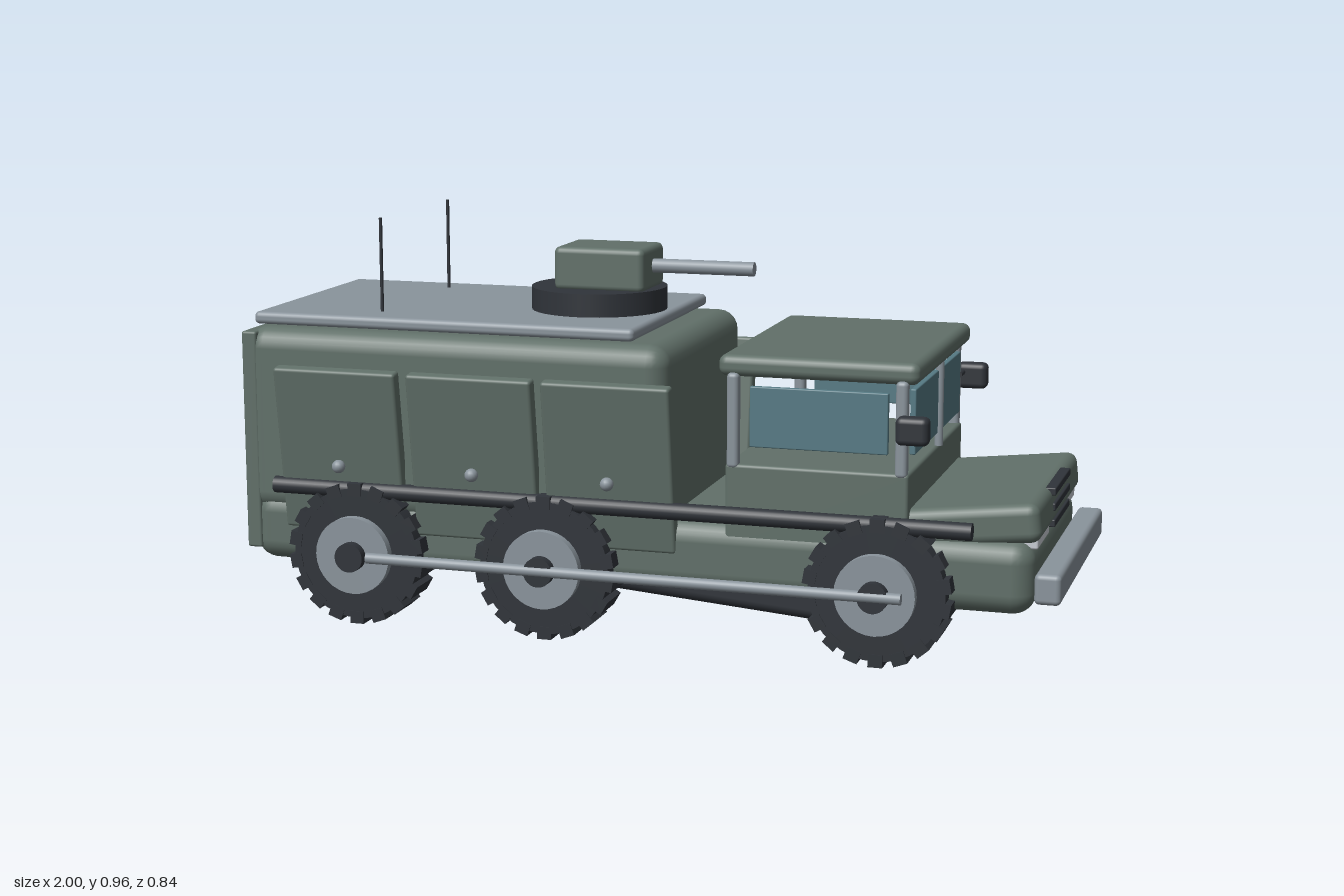
import * as THREE from 'three';
import { RoundedBoxGeometry } from 'three/addons/geometries/RoundedBoxGeometry.js';

const mat = (color) => new THREE.MeshStandardMaterial({ color });
const GREEN = mat(0x617069), GREY = mat(0x8a949c), DARK = mat(0x30343a);
const GLASS = mat(0x567a84), LAMP = mat(0xc8ccd4);

export function createModel() {
  const model = new THREE.Group();
  model.name = 'armouredTruck';

  function add(name, geometry, material, x, y, z, parent = model) {
    const mesh = new THREE.Mesh(geometry, material);
    mesh.name = name;
    mesh.position.set(x, y, z);
    parent.add(mesh);
    return mesh;
  }

  // Rounded box given by its extents on each axis
  function box(name, material, [x0, x1], [y0, y1], [z0, z1], r = 0.01) {
    const geometry = new RoundedBoxGeometry(x1 - x0, y1 - y0, z1 - z0, 3, r);
    return add(name, geometry, material, (x0 + x1) / 2, (y0 + y1) / 2, (z0 + z1) / 2);
  }

  // Cylinder along one axis
  function rod(name, material, r, length, axis, x, y, z, parent = model, sides = 24) {
    const geometry = new THREE.CylinderGeometry(r, r, length, sides);
    if (axis === 'x') geometry.rotateZ(Math.PI / 2);
    if (axis === 'z') geometry.rotateX(Math.PI / 2);
    return add(name, geometry, material, x, y, z, parent);
  }

  // Hull
  box('lowerHull', GREEN, [-0.965, 0.935], [0.13, 0.30], [-0.33, 0.33], 0.05);
  box('rearBody', GREEN, [-0.975, 0.085], [0.25, 0.70], [-0.33, 0.33], 0.05);
  box('rearDoorPlate', GREEN, [-0.978, -0.94], [0.16, 0.69], [-0.328, 0.328], 0.006);
  box('roofPlate', GREY, [-0.955, 0], [0.705, 0.735], [-0.305, 0.305], 0.012);
  const belly = box('bellyPlate', DARK, [-0.6, 0.6], [0.09, 0.18], [-0.23, 0.23], 0.025);
  belly.rotation.z = -0.08;

  // Hood, grille and bumper
  const hood = box('hood', GREEN, [0.605, 0.945], [0.28, 0.37], [-0.31, 0.31], 0.025);
  hood.rotation.z = 0.11;
  for (const y of [0.302, 0.34, 0.376]) {
    box('grilleSlot', DARK, [0.925, 0.95], [y - 0.009, y + 0.009], [-0.115, 0.115], 0.003);
  }
  box('bumper', GREY, [0.94, 1.0], [0.17, 0.24], [-0.35, 0.35], 0.012);

  // Cab
  box('cabBody', GREEN, [0.225, 0.65], [0.24, 0.44], [-0.325, 0.325], 0.008);
  box('cabRoof', GREEN, [0.205, 0.67], [0.64, 0.69], [-0.32, 0.32], 0.02);
  rod('windshieldDivider', GREY, 0.01, 0.2, 'y', 0.655, 0.545, 0);

  // Turret
  rod('turretRing', DARK, 0.164, 0.06, 'y', -0.182, 0.76, 0, model, 40);
  box('turretBody', GREEN, [-0.27, -0.045], [0.785, 0.89], [-0.086, 0.086], 0.015);
  rod('turretBarrel', GREY, 0.017, 0.27, 'x', 0.07, 0.843, 0);

  // Wheel with tread blocks; s points outward
  function wheel(x, s) {
    const group = new THREE.Group();
    group.name = 'wheel';
    group.position.set(x, 0.173, s * 0.32);
    model.add(group);
    rod('tyre', DARK, 0.158, 0.096, 'z', 0, 0, 0, group, 36);
    const lugs = 18;
    for (let i = 0; i < lugs; i++) {
      const a = (i / lugs) * Math.PI * 2;
      const lug = add('treadBlock', new THREE.BoxGeometry(0.034, 0.03, 0.1), DARK,
        Math.sin(a) * 0.156, Math.cos(a) * 0.156, 0, group);
      lug.rotation.z = -a;
    }
    rod('wheelDisc', GREY, 0.093, 0.03, 'z', 0, 0, s * 0.055, group, 32);
    rod('hubCap', DARK, 0.035, 0.04, 'z', 0, 0, s * 0.073, group);
  }

  // Parts repeated on both sides
  for (const s of [1, -1]) {
    const span = (a, b) => (s > 0 ? [a, b] : [-b, -a]);

    for (const x of [-0.675, -0.2, 0.59]) wheel(x, s);
    rod('linkRod', GREY, 0.013, 1.285, 'x', 0.012, 0.175, s * 0.405);
    rod('sidePipe', DARK, 0.02, 1.69, 'x', -0.045, 0.325, s * 0.345);

    // Flared storage panels with latch knobs
    for (const x of [-0.715, -0.378, -0.045]) {
      const panel = box('sidePanel', GREEN, [x - 0.155, x + 0.155], [0.22, 0.62], span(0.326, 0.361), 0.008);
      panel.rotation.x = s * 0.14;
      add('latchKnob', new THREE.SphereGeometry(0.016, 16, 12), GREY, x, 0.383, s * 0.366);
    }

    // Cab pillars, glass and mirrors
    for (const x of [0.242, 0.632]) {
      box('cabPillar', GREY, [x - 0.014, x + 0.014], [0.43, 0.65], span(0.298, 0.328), 0.01);
    }
    box('sideWindow', GLASS, [0.28, 0.60], [0.48, 0.62], span(0.302, 0.316), 0.003);
    box('windshield', GLASS, [0.64, 0.654], [0.475, 0.625], span(0.004, 0.27), 0.003);
    box('mirror', DARK, [0.63, 0.705], [0.518, 0.582], span(0.348, 0.391), 0.014);
    rod('mirrorArm', DARK, 0.007, 0.06, 'z', 0.645, 0.56, s * 0.335);

    box('headlight', LAMP, [0.90, 0.938], [0.28, 0.31], span(0.12, 0.286), 0.005);
    rod('antenna', DARK, 0.004, 0.23, 'y', -0.66, 0.845, s * 0.213, model, 10);
    box('rearHandle', GREEN, [-0.997, -0.97], [0.375, 0.53], span(0.192, 0.208), 0.005);
  }

  return model;
}
